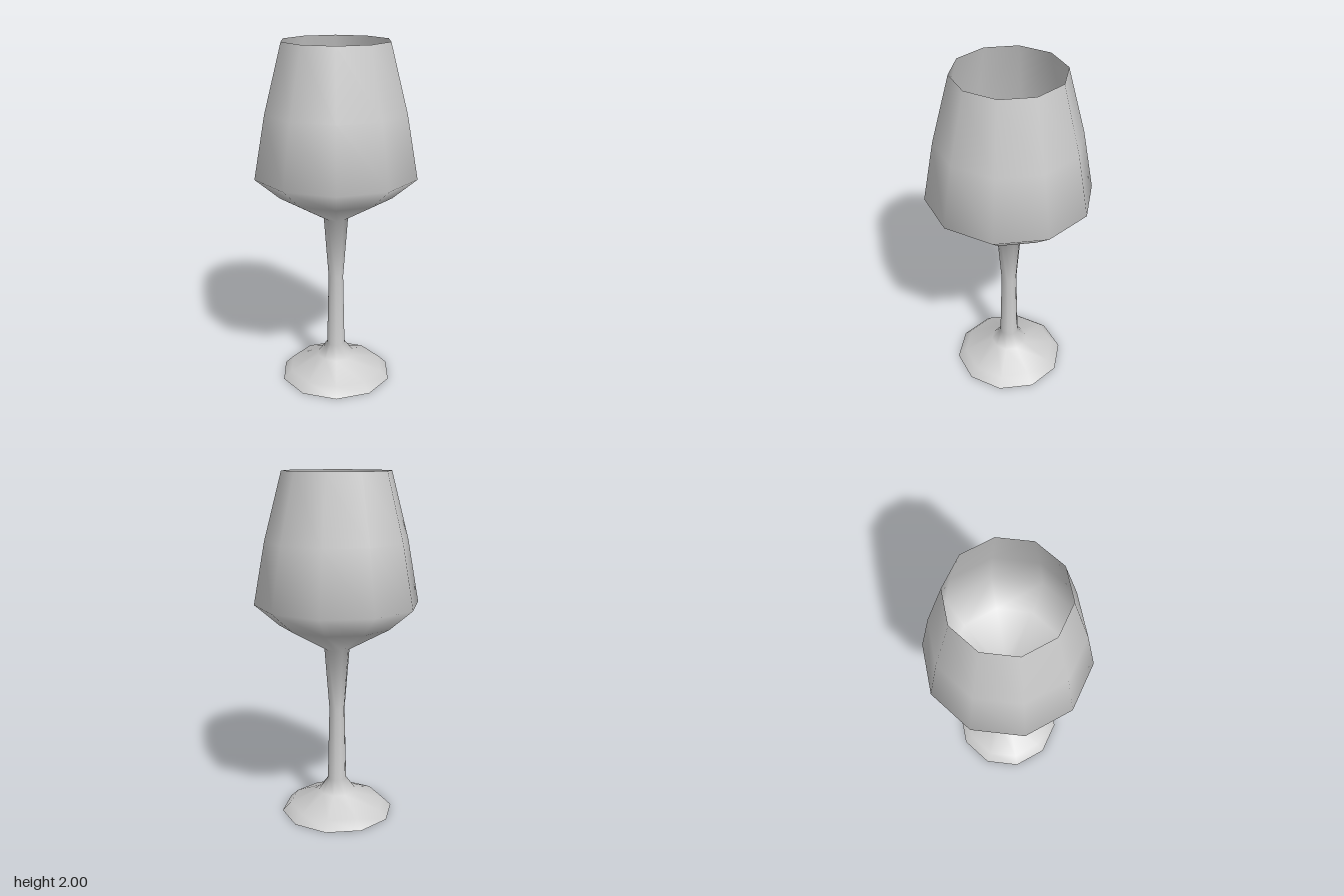
import * as THREE from 'three';

const SIDES = 10;
const NECK = 1.0; // height where the stem meets the bowl

// Outline of the glass, [radius, height] from the foot up to the rim
const PROFILE = [
  [0.33, 0], [0.28, 0.05], [0.11, 0.125], [0.055, 0.2],
  [0.045, 0.64], [0.073, NECK],
  [0.33, 1.145], [0.47, 1.265], [0.405, 1.62], [0.305, 2],
];

export function createModel() {
  const group = new THREE.Group();
  const material = new THREE.MeshStandardMaterial({ color: 0xcccccc, side: THREE.DoubleSide });

  const add = (name, geometry) => {
    const mesh = new THREE.Mesh(geometry, material);
    mesh.name = name;
    group.add(mesh);
  };

  // The whole outline is turned once so shading stays smooth across the parts
  const points = PROFILE.map(([r, y]) => new THREE.Vector2(r, y));
  const turned = new THREE.LatheGeometry(points, SIDES, Math.PI / 2);
  const bands = PROFILE.length - 1;

  // Cuts the bands from..to out of the turned surface
  const cut = (from, to) => {
    const index = Array.from(turned.index.array).filter((_, i) => {
      const band = Math.floor(i / 6) % bands;
      return band >= from && band < to;
    });
    return turned.clone().setIndex(index).toNonIndexed();
  };

  add('foot', cut(0, 3));
  add('stem', cut(3, 5));
  add('bowl', cut(5, bands));

  // Flat underside of the foot
  add('footUnderside', new THREE.CircleGeometry(0.33, SIDES).rotateX(Math.PI / 2));

  // Floor inside the bowl, closing the top of the stem
  add('bowlFloor', new THREE.CircleGeometry(0.073, SIDES).rotateX(-Math.PI / 2).translate(0, NECK, 0));

  return group;
}
